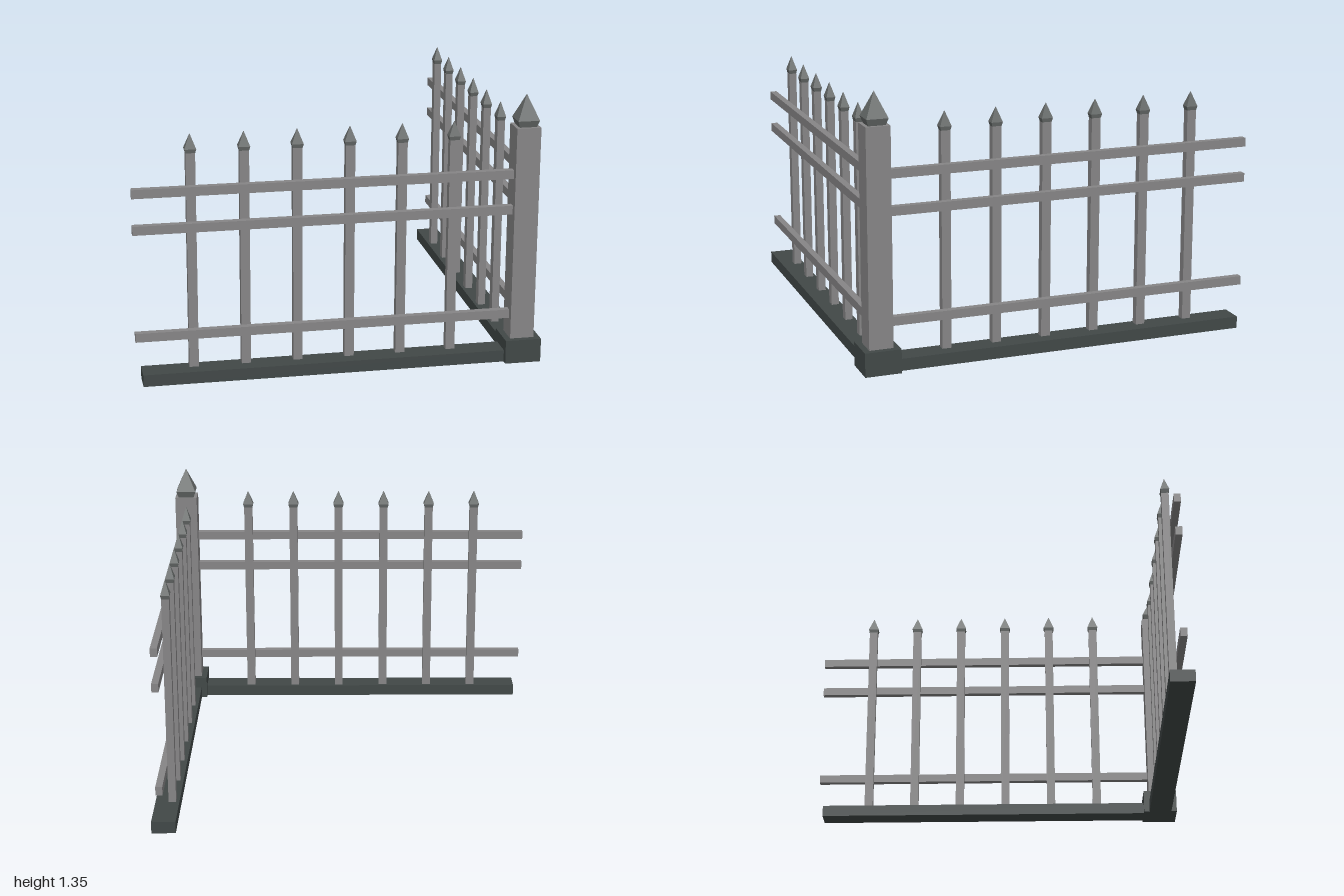
import * as THREE from 'three';

const material = (name, color) => {
  const m = new THREE.MeshStandardMaterial({ color });
  m.name = name;
  return m;
};

// Four-sided spear tip with a flared collar; height measured from its foot
function spearGeometry(footWidth, flareWidth, flareY, height) {
  const r = Math.SQRT1_2;
  const profile = [
    new THREE.Vector2(footWidth * r, 0),
    new THREE.Vector2(flareWidth * r, flareY),
    new THREE.Vector2(0.0005, height),
  ];
  const g = new THREE.LatheGeometry(profile, 4, Math.PI / 4).toNonIndexed();
  g.computeVertexNormals();
  return g;
}

export function createModel() {
  const root = new THREE.Group();
  root.name = 'cornerFence';

  const metal = material('grey metal', 0x868586);
  const tipMetal = material('dark grey tip', 0x666a69);
  const stone = material('dark stone', 0x414847);

  const box = (parent, name, mat, [w, h, d], [x, y, z]) => {
    const mesh = new THREE.Mesh(new THREE.BoxGeometry(w, h, d), mat);
    mesh.position.set(x, y, z);
    mesh.name = name;
    parent.add(mesh);
  };

  // Corner post with its foot and spear tip
  const post = new THREE.Group();
  post.name = 'cornerPost';
  root.add(post);
  box(post, 'postFoot', stone, [0.18, 0.12, 0.18], [0.91, 0.06, 0.91]);
  box(post, 'postShaft', metal, [0.12, 1.075, 0.12], [0.91, 0.6575, 0.91]);
  const postTip = new THREE.Mesh(spearGeometry(0.085, 0.107, 0.033, 0.155), tipMetal);
  postTip.position.set(0.91, 1.195, 0.91);
  postTip.name = 'postTip';
  post.add(postTip);

  const tip = spearGeometry(0.045, 0.057, 0.022, 0.095);

  // Two identical wings: one along x, the other along z with the axes swapped
  for (const alongZ of [false, true]) {
    const wing = new THREE.Group();
    wing.name = alongZ ? 'sideWing' : 'frontWing';
    root.add(wing);
    const swap = ([a, y, b]) => (alongZ ? [b, y, a] : [a, y, b]);
    const part = (name, mat, size, pos) => box(wing, name, mat, swap(size), swap(pos));

    part('plinth', stone, [1.79, 0.06, 0.12], [-0.075, 0.03, 0.91]);

    // Rails on the outer face of the pickets
    for (const y of [0.24, 0.778, 0.958]) {
      part('rail', metal, [1.86, 0.044, 0.034], [-0.07, y, 0.922]);
    }

    // Pickets with spear tips
    for (let i = 0; i < 6; i++) {
      const a = -0.716 + i * 0.2554;
      part('picket', metal, [0.046, 1.075, 0.038], [a, 0.5975, 0.885]);
      const mesh = new THREE.Mesh(tip, tipMetal);
      mesh.position.set(...swap([a, 1.132, 0.885]));
      mesh.scale.set(...swap([1, 1, 0.8]));
      mesh.name = 'picketTip';
      wing.add(mesh);
    }
  }
  return root;
}
